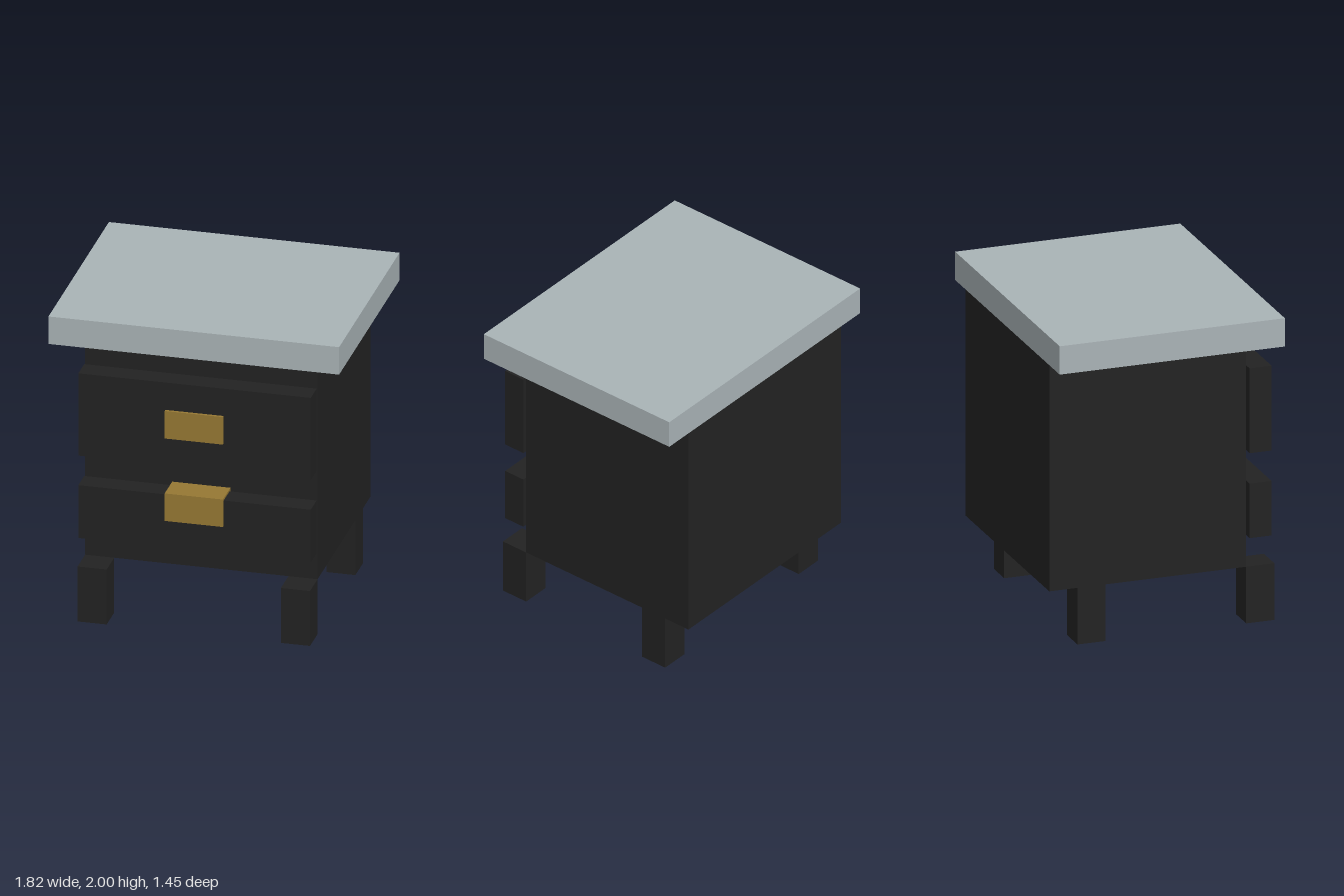
import * as THREE from 'three';

const material = (name, color) => {
  const m = new THREE.MeshStandardMaterial({ color });
  m.name = name;
  return m;
};

export function createModel() {
  const group = new THREE.Group();
  group.name = 'nightstand';
  const black = material('black', 0x222222);
  const grey = material('pale grey', 0xa9b3b6);
  const gold = material('gold', 0x967833);

  // Box given by its extents along each axis
  const box = (name, mat, [x0, x1], [y0, y1], [z0, z1]) => {
    const mesh = new THREE.Mesh(new THREE.BoxGeometry(x1 - x0, y1 - y0, z1 - z0), mat);
    mesh.position.set((x0 + x1) / 2, (y0 + y1) / 2, (z0 + z1) / 2);
    mesh.name = name;
    group.add(mesh);
  };

  // Table top and cabinet
  box('tableTop', grey, [-0.909, 0.909], [1.818, 2], [-0.727, 0.727]);
  box('cabinet', black, [-0.727, 0.727], [0.364, 1.818], [-0.727, 0.545]);

  // Drawer fronts, standing slightly clear of the cabinet
  box('upperDrawer', black, [-0.727, 0.727], [1.091, 1.636], [0.567, 0.709]);
  box('lowerDrawer', black, [-0.727, 0.727], [0.545, 0.895], [0.567, 0.709]);

  // Handles reaching through the drawer fronts
  box('upperHandle', gold, [-0.182, 0.182], [1.273, 1.455], [0.545, 0.727]);
  box('lowerHandle', gold, [-0.182, 0.182], [0.727, 0.909], [0.545, 0.727]);

  // Legs: front pair ahead of the cabinet, rear pair set in
  for (const [side, x] of [['Left', [0.545, 0.727]], ['Right', [-0.727, -0.545]]]) {
    box('front' + side + 'Leg', black, x, [0, 0.364], [0.545, 0.727]);
    box('rear' + side + 'Leg', black, x, [0, 0.364], [-0.545, -0.364]);
  }
  return group;
}
